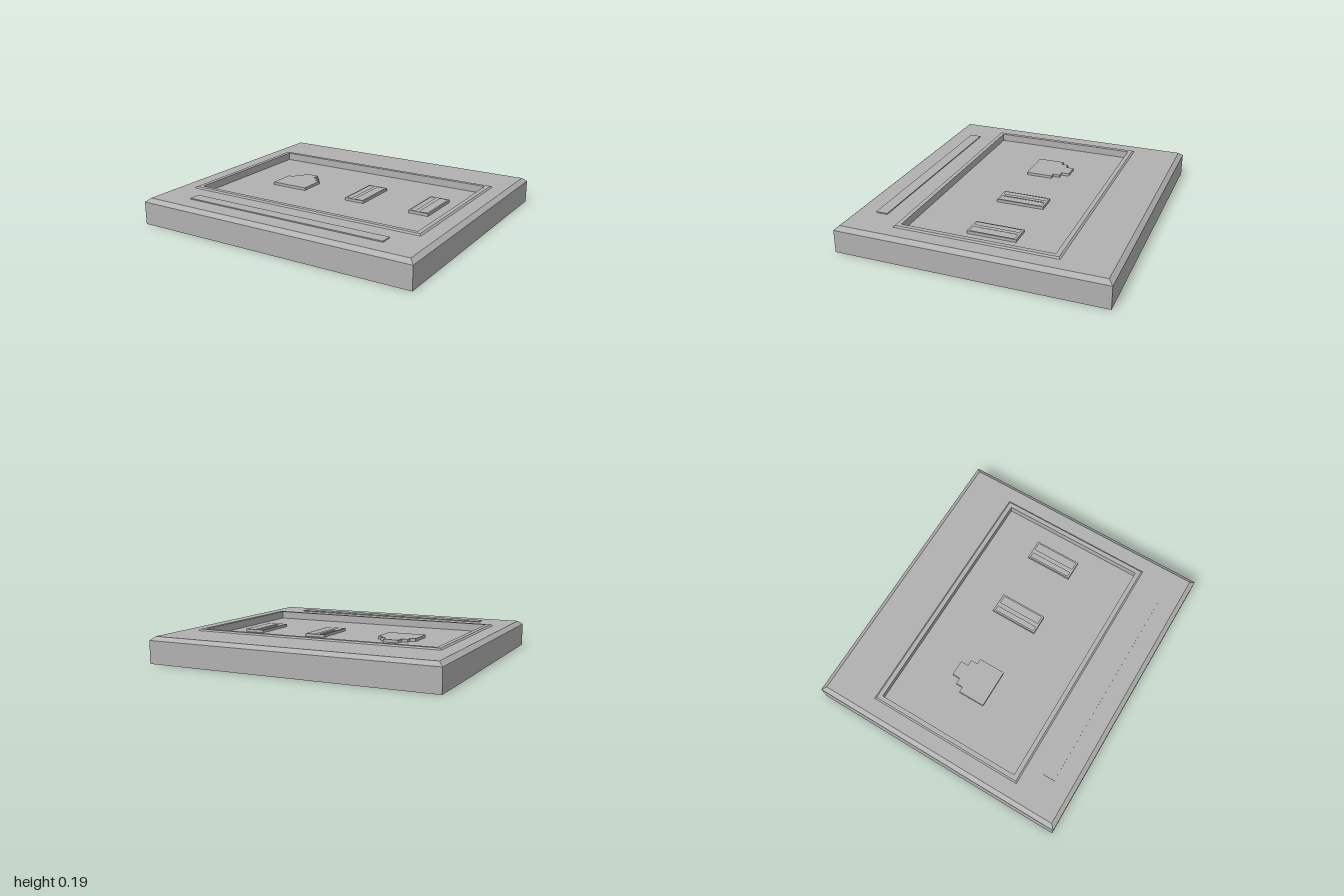
import * as THREE from 'three';

const grey = new THREE.MeshStandardMaterial({ color: 0xb0b0b0 });
grey.name = 'grey plastic';

const FLOOR = 0.138; // height of the recessed panel
const RAISED = 0.157; // top of the sockets

// Joins rectangular sections [halfWidth, halfDepth, y] into flat-sided walls
function rectLoft(sections) {
  const corners = [[1, 1], [1, -1], [-1, -1], [-1, 1]];
  const pos = [];
  const point = ([w, d, y], k) => [corners[k % 4][0] * w, y, corners[k % 4][1] * d];
  for (let i = 0; i < sections.length - 1; i++) {
    const low = sections[i], high = sections[i + 1];
    for (let k = 0; k < 4; k++) {
      const a = point(low, k), b = point(low, k + 1);
      const c = point(high, k + 1), d = point(high, k);
      if (low[0] > 0) pos.push(...a, ...b, ...c);
      if (high[0] > 0) pos.push(...a, ...c, ...d);
    }
  }
  const g = new THREE.BufferGeometry();
  g.setAttribute('position', new THREE.Float32BufferAttribute(pos, 3));
  g.computeVertexNormals();
  return g;
}

// Outline in (x, z), extruded upward from y0 to y1
function slab(points, holes, y0, y1) {
  const toPath = (Type, pts) => new Type(pts.map(([x, z]) => new THREE.Vector2(x, -z)));
  const shape = toPath(THREE.Shape, points);
  shape.holes = holes.map((h) => toPath(THREE.Path, h));
  const g = new THREE.ExtrudeGeometry(shape, { depth: y1 - y0, bevelEnabled: false });
  return g.rotateX(-Math.PI / 2).translate(0, y0, 0);
}

const rect = (x0, x1, z0, z1) => [[x0, z0], [x1, z0], [x1, z1], [x0, z1]];

export function createModel() {
  const model = new THREE.Group();
  model.name = 'wallSocketPlate';
  const add = (name, geometry) => {
    const mesh = new THREE.Mesh(geometry, grey);
    mesh.name = name;
    model.add(mesh);
    return mesh;
  };

  // Housing with a chamfered upper edge, open in the middle
  add('housing', rectLoft([
    [0, 0, 0], [1, 0.9, 0], [1, 0.9, 0.155], [0.97, 0.87, 0.18], [0.87, 0.55, 0.18],
  ]));

  // Raised rim around the recess and the panel at its bottom
  add('rim', rectLoft([
    [0.87, 0.55, 0.18], [0.86, 0.54, 0.19], [0.83, 0.51, 0.19], [0.83, 0.51, FLOOR],
  ]));
  add('recessedPanel', rectLoft([[0.83, 0.51, FLOOR], [0, 0, FLOOR]]));

  // Stepped network socket, mirrored about its centre line
  const half = [[0.134, 0.09], [0.134, -0.096], [0.096, -0.096],
    [0.096, -0.145], [0.053, -0.145], [0.053, -0.2]];
  const mirrored = half.map(([x, z]) => [-x, z]).reverse();
  add('networkSocket', slab([...half, ...mirrored], [], FLOOR, RAISED))
    .position.x = -0.401;

  // Two narrow sockets, each with a thin and a wide slot
  for (const [name, x] of [['innerPort', 0.155], ['outerPort', 0.636]]) {
    add(name, slab(
      rect(-0.07, 0.07, -0.21, 0.12),
      [rect(-0.058, -0.027, -0.195, 0.106), rect(0.005, 0.058, -0.195, 0.106)],
      FLOOR, RAISED,
    )).position.x = x;
  }

  // Label strip along the front
  add('labelStrip', slab(rect(-0.73, 0.73, 0.67, 0.75), [], 0.178, 0.187));

  return model;
}
